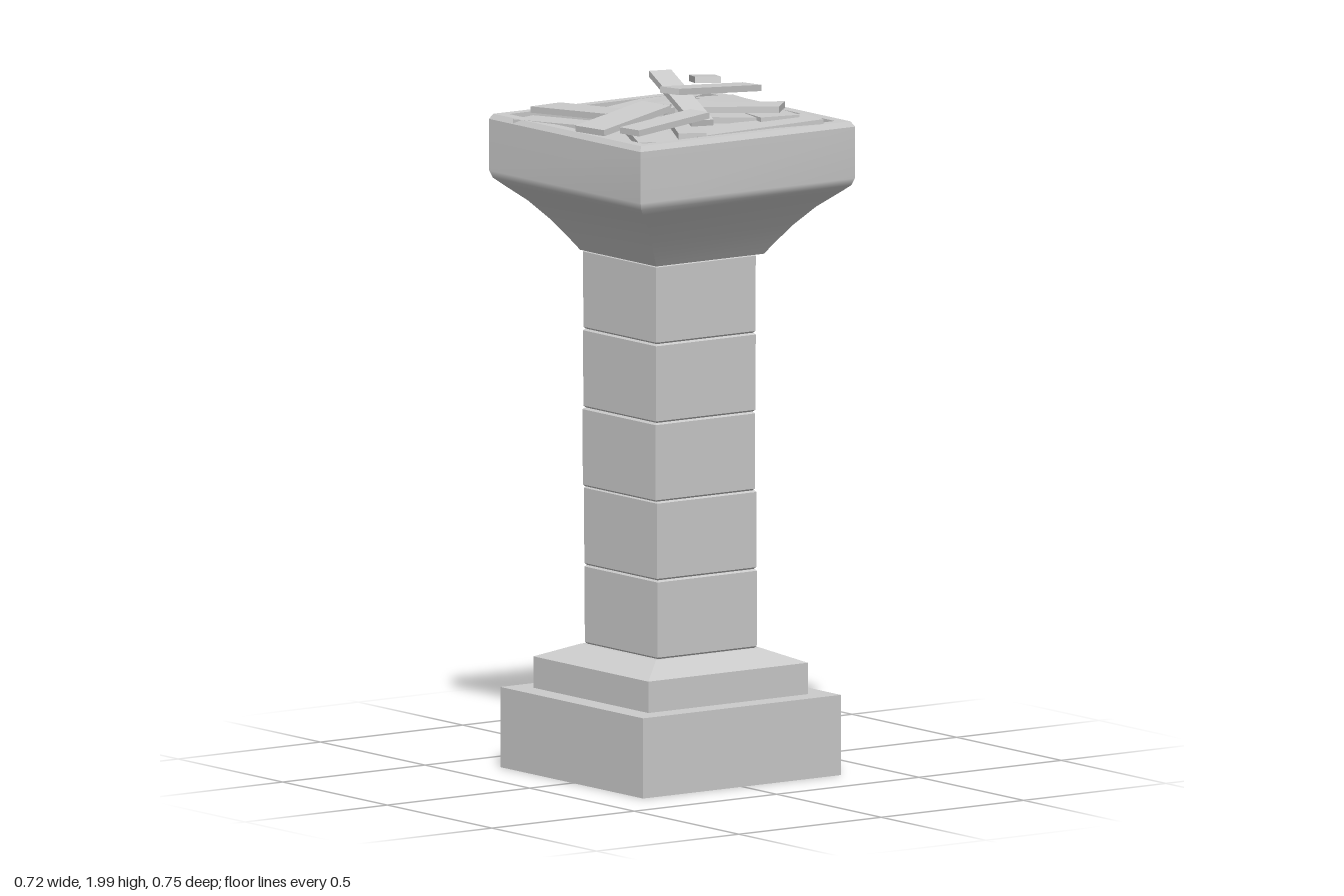
import * as THREE from 'three';

const material = new THREE.MeshStandardMaterial({ color: 0xcccccc });

// Square-plan solid from a profile of [halfWidth, y]; the four corners always stay sharp.
function squareLoft(name, profile, { ratio = 1, smooth = false } = {}) {
  const positions = [], index = [];
  const corners = [[-1, 1], [1, 1], [1, -1], [-1, -1]];
  for (let side = 0; side < 4; side++) {
    const a = corners[side], b = corners[(side + 1) % 4];
    const start = positions.length / 3;
    profile.forEach(([h, y], i) => {
      for (const c of [a, b]) positions.push(c[0] * h, y, c[1] * h * ratio);
      if (i === 0) return;
      const p = start + (i - 1) * 2;
      index.push(p, p + 1, p + 3, p, p + 3, p + 2);
    });
  }
  let geometry = new THREE.BufferGeometry();
  geometry.setAttribute('position', new THREE.Float32BufferAttribute(positions, 3));
  geometry.setIndex(index);
  if (!smooth) geometry = geometry.toNonIndexed();
  geometry.computeVertexNormals();
  const mesh = new THREE.Mesh(geometry, material);
  mesh.name = name;
  return mesh;
}

// Plank centred at (x, z), turned by the heading (dx, dz); y0 and y1 are its end heights.
function plank([x, z, length, width, dx, dz, y0, y1]) {
  const mesh = new THREE.Mesh(new THREE.BoxGeometry(length, 0.018, width), material);
  mesh.name = 'plank';
  mesh.position.set(x, (y0 + y1) / 2, z);
  mesh.rotation.set(0, -Math.atan2(dz, dx), Math.asin((y1 - y0) / length), 'YZX');
  return mesh;
}

export function createModel() {
  const model = new THREE.Group();

  // Stepped foot with a sloped top
  const foot = squareLoft('steppedBase', [
    [0, 0], [0.341, 0], [0.341, 0.23], [0.275, 0.23], [0.275, 0.32], [0.18, 0.36], [0, 0.36],
  ], { ratio: 1.018 });
  foot.position.set(-0.004, 0, 0.002);
  model.add(foot);

  // Shaft of five slightly shifted blocks with worn edges
  const shaft = new THREE.Group();
  shaft.name = 'shaft';
  const shifts = [[-0.003, 0.002], [-0.004, 0.003], [-0.003, 0.009], [-0.003, 0.007], [-0.003, 0.007]];
  const height = 0.226, e = 0.005;
  shifts.forEach(([x, z], i) => {
    const block = squareLoft('shaftBlock', [
      [0, 0], [0.169, 0], [0.174, e], [0.175, height - e], [0.17, height], [0, height],
    ]);
    block.position.set(x, 0.36 + i * height, z);
    shaft.add(block);
  });
  model.add(shaft);

  // Flared bowl, rim and shallow basin
  const bowl = new THREE.Group();
  bowl.name = 'bowl';
  bowl.add(
    squareLoft('bowlUnderside', [[0, 1.49], [0.182, 1.49]]),
    squareLoft('bowlFlare', [
      [0.182, 1.49], [0.205, 1.525], [0.24, 1.575], [0.285, 1.628], [0.335, 1.673],
      [0.355, 1.692], [0.362, 1.712], [0.362, 1.86],
    ], { ratio: 1.039, smooth: true }),
    squareLoft('bowlRim', [
      [0.362, 1.86], [0.353, 1.875], [0.322, 1.875], [0.322, 1.845], [0, 1.845],
    ], { ratio: 1.042 }),
  );
  model.add(bowl);

  // Heap of planks: x, z, length, width, heading dx, dz, end heights
  const planks = new THREE.Group();
  planks.name = 'plankHeap';
  [
    // bottom layer
    [-0.23, -0.03, 0.40, 0.11, 55, 150, 1.865, 1.865],
    [-0.18, 0.15, 0.27, 0.10, 90, -42, 1.865, 1.87],
    [-0.10, 0.29, 0.33, 0.09, 90, -24, 1.865, 1.875],
    [0.19, 0.22, 0.28, 0.11, 90, 45, 1.875, 1.865],
    [0.17, 0.07, 0.24, 0.08, 70, 40, 1.87, 1.87],
    [0.255, -0.09, 0.40, 0.12, -28, 178, 1.88, 1.86],
    [0.03, -0.24, 0.46, 0.12, 227, 48, 1.875, 1.885],
    [0.18, -0.16, 0.37, 0.08, -35, 90, 1.87, 1.89],
    [-0.09, 0.07, 0.20, 0.11, -45, 40, 1.895, 1.87],
    // middle layer
    [-0.18, -0.12, 0.32, 0.07, 70, 125, 1.875, 1.89],
    [-0.08, -0.02, 0.34, 0.10, 32, 170, 1.885, 1.89],
    [0.10, -0.13, 0.30, 0.095, 100, -95, 1.90, 1.91],
    [-0.14, 0.21, 0.33, 0.11, 163, -11, 1.885, 1.905],
    [0.08, 0.23, 0.27, 0.115, 20, 134, 1.925, 1.885],
    [0.21, 0.18, 0.28, 0.078, 20, 139, 1.915, 1.895],
    // top layer
    [0.036, -0.006, 0.36, 0.066, 170, 49, 1.98, 1.89],
    [0.015, -0.125, 0.37, 0.07, 46, 179, 1.93, 1.965],
    [-0.134, -0.214, 0.376, 0.073, 157, 104, 1.92, 1.975],
  ].forEach((p) => planks.add(plank(p)));
  model.add(planks);

  return model;
}
